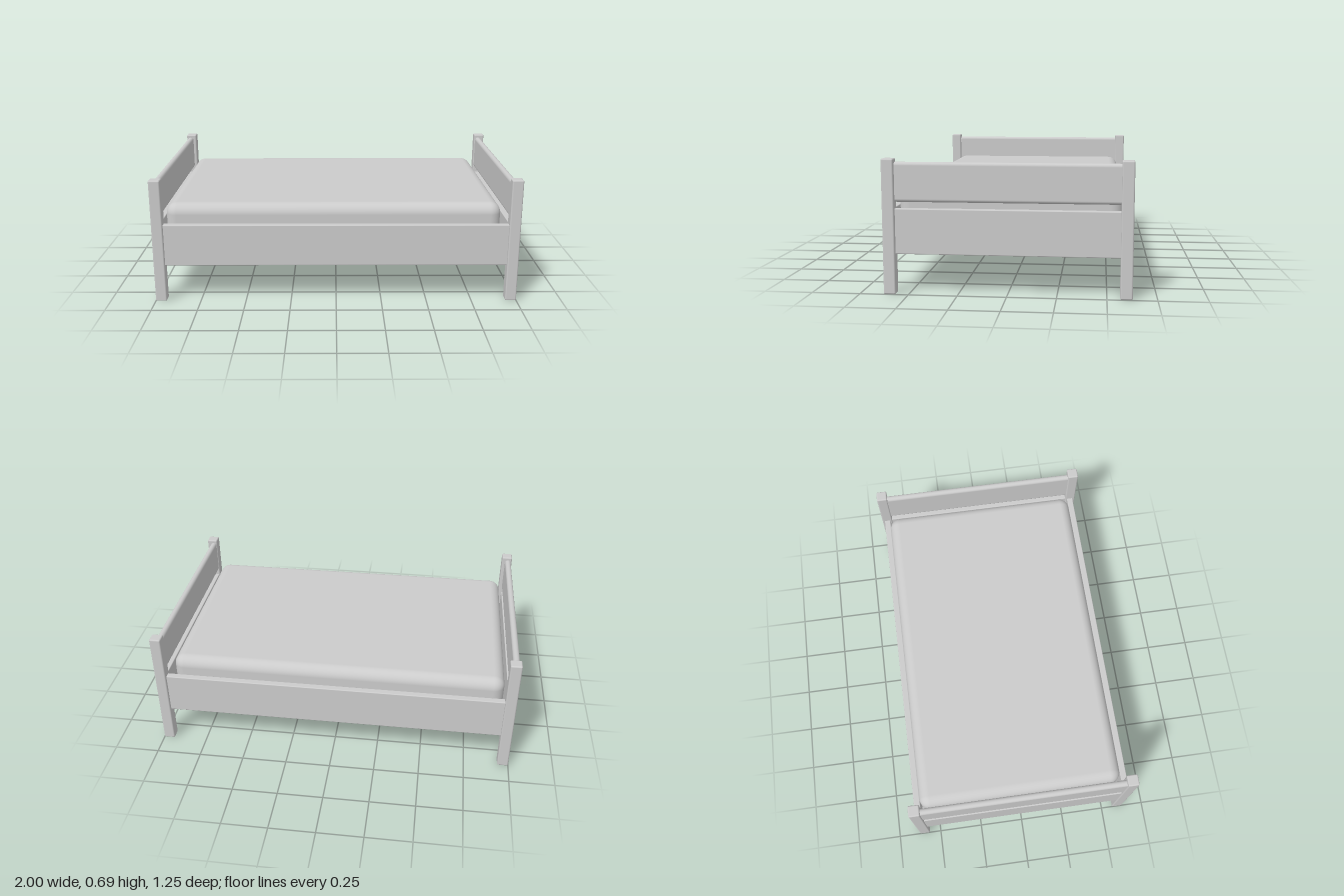
import * as THREE from 'three';
import { RoundedBoxGeometry } from 'three/addons/geometries/RoundedBoxGeometry.js';

const material = new THREE.MeshStandardMaterial({ color: 0xcccccc });

// Rounded block given by its lower and upper limits on each axis
function block(parent, name, [x0, x1], [y0, y1], [z0, z1], radius, segments = 2) {
  const geometry = new RoundedBoxGeometry(x1 - x0, y1 - y0, z1 - z0, segments, radius);
  const mesh = new THREE.Mesh(geometry, material);
  mesh.name = name;
  mesh.position.set((x0 + x1) / 2, (y0 + y1) / 2, (z0 + z1) / 2);
  parent.add(mesh);
  return mesh;
}

export function createModel() {
  const bed = new THREE.Group();
  bed.name = 'bed';

  // Four corner posts
  for (const x of [-0.969, 0.969]) {
    for (const z of [-0.596, 0.596]) {
      block(bed, 'post', [x - 0.031, x + 0.031], [0, 0.69], [z - 0.031, z + 0.031], 0.008);
    }
  }

  // Long side rails
  for (const [name, z] of [['backRail', -0.594], ['frontRail', 0.594]]) {
    block(bed, name, [-0.96, 0.96], [0.205, 0.437], [z - 0.018, z + 0.018], 0.005);
  }

  // Headboard and footboard: a lower panel and a round-edged upper panel
  for (const [name, x] of [['headboard', -0.975], ['footboard', 0.961]]) {
    const board = new THREE.Group();
    board.name = name;
    block(board, 'lowerPanel', [x - 0.018, x + 0.018], [0.205, 0.437], [-0.59, 0.59], 0.005);
    block(board, 'upperPanel', [x - 0.018, x + 0.018], [0.47, 0.672], [-0.59, 0.59], 0.0175, 4);
    bed.add(board);
  }

  // Slats across the frame
  const slats = new THREE.Group();
  slats.name = 'slats';
  for (let i = 0; i < 8; i++) {
    const x = (i - 3.5) * 0.24;
    block(slats, 'slat', [x - 0.07, x + 0.07], [0.24, 0.29], [-0.58, 0.58], 0.01);
  }
  bed.add(slats);

  // Mattress
  block(bed, 'mattress', [-0.932, 0.905], [0.29, 0.54], [-0.575, 0.566], 0.06, 6);

  return bed;
}
